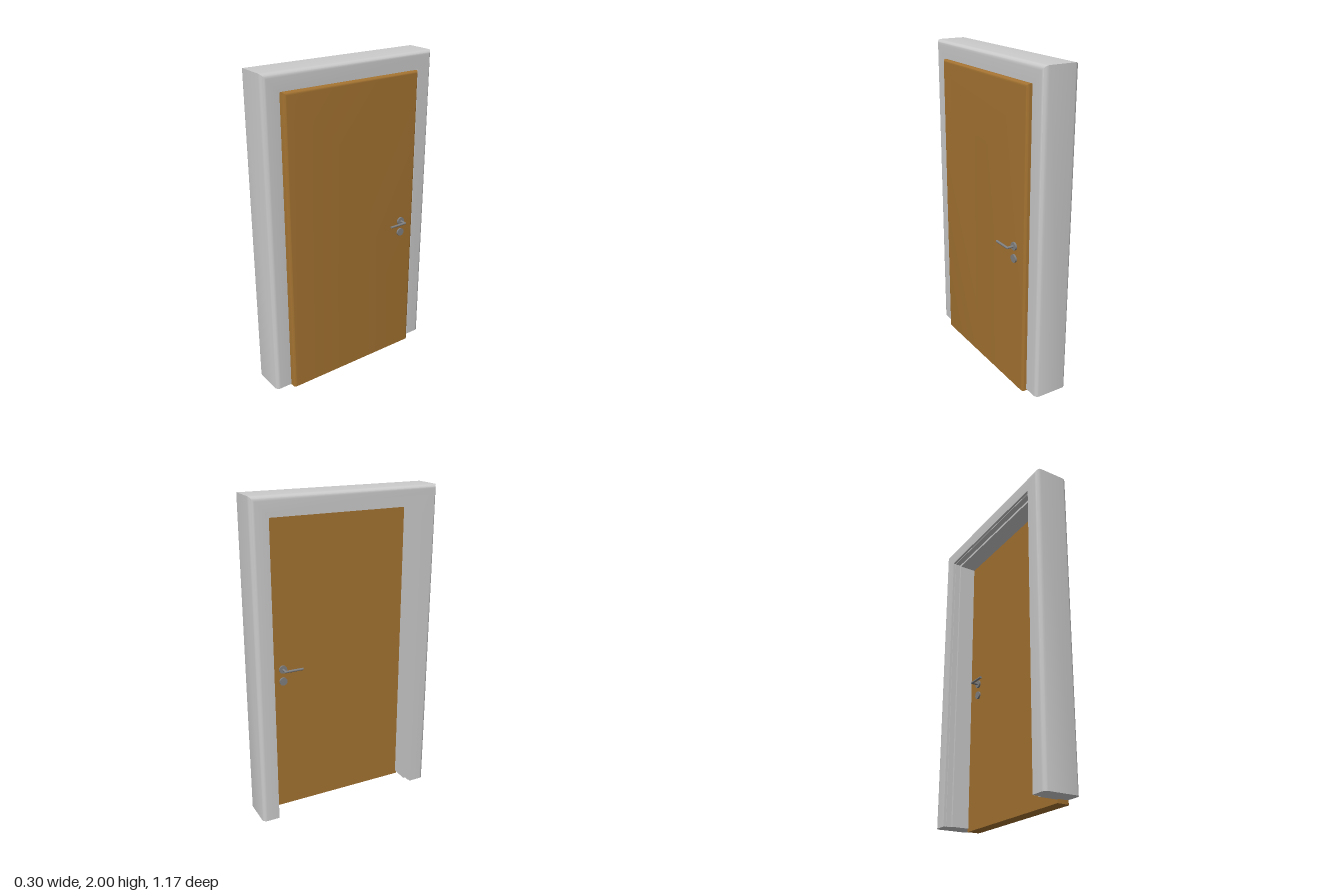
import * as THREE from 'three';
import { toCreasedNormals } from 'three/addons/utils/BufferGeometryUtils.js';

const grey = new THREE.MeshStandardMaterial({ color: 0xcccccc });
const wood = new THREE.MeshStandardMaterial({ color: 0xa47331 });
const metal = new THREE.MeshStandardMaterial({ color: 0x808080 });

// Quarter-round from angle a to a + 90 degrees, as [x, inset] points
function quarter(cx, cd, r, a, n = 6) {
  return Array.from({ length: n + 1 }, (_, i) => {
    const t = a + (i / n) * Math.PI / 2;
    return [cx + r * Math.cos(t), cd + r * Math.sin(t)];
  });
}

// Sweeps a closed [x, inset] profile up one side, over the top and down the other, with mitred corners
function sweepArch(profile, halfWidth, bottom, top) {
  const stations = [
    d => [bottom, d - halfWidth], d => [top - d, d - halfWidth],
    d => [top - d, halfWidth - d], d => [bottom, halfWidth - d],
  ];
  const point = (s, i) => {
    const [x, d] = profile[i % profile.length];
    return [x, ...stations[s](d)];
  };
  const pos = [];
  for (let s = 0; s < 3; s++) {
    for (let i = 0; i < profile.length; i++) {
      const a = point(s, i), b = point(s, i + 1), c = point(s + 1, i + 1), d = point(s + 1, i);
      pos.push(...a, ...d, ...c, ...a, ...c, ...b);
    }
  }
  // End caps
  const flat = profile.map(p => new THREE.Vector2(...p));
  for (const tri of THREE.ShapeUtils.triangulateShape(flat, [])) {
    const ccw = THREE.ShapeUtils.area(tri.map(i => flat[i])) > 0 ? tri : [...tri].reverse();
    for (const i of ccw) pos.push(...point(0, i));
    for (const i of [...ccw].reverse()) pos.push(...point(3, i));
  }
  const g = new THREE.BufferGeometry();
  g.setAttribute('position', new THREE.Float32BufferAttribute(pos, 3));
  return toCreasedNormals(g, 0.6);
}

function add(parent, name, geometry, material, x = 0, y = 0, z = 0) {
  const mesh = new THREE.Mesh(geometry, material);
  mesh.name = name;
  mesh.position.set(x, y, z);
  parent.add(mesh);
  return mesh;
}

// Lever set on one face of the door; side is +1 or -1 along x
function handleSet(side) {
  const group = new THREE.Group();
  group.name = side > 0 ? 'outerHandle' : 'innerHandle';
  group.position.set(0.05 + side * 0.04, 0.943, -0.363);
  const disc = new THREE.CylinderGeometry(0.025, 0.025, 0.012, 32);
  const rod = 0.0075;
  add(group, 'handleRose', disc, metal, side * 0.005).rotation.z = Math.PI / 2;
  add(group, 'keyRose', disc, metal, side * 0.005, -0.078).rotation.z = Math.PI / 2;
  add(group, 'leverShaft', new THREE.CylinderGeometry(rod, rod, 0.05, 16), metal, side * 0.025).rotation.z = Math.PI / 2;
  add(group, 'leverElbow', new THREE.SphereGeometry(rod, 16, 12), metal, side * 0.05);
  add(group, 'leverGrip', new THREE.CylinderGeometry(rod, rod, 0.113, 16), metal, side * 0.05, 0, 0.0565).rotation.x = Math.PI / 2;
  return group;
}

export function createModel() {
  const model = new THREE.Group();
  model.name = 'door';

  // Frame: rounded outer edges, stepped rebates towards the opening
  const r = 0.028;
  const frameProfile = [
    ...quarter(-0.15 + r, r, r, Math.PI),
    ...quarter(0.07 - r, r, r, -Math.PI / 2),
    [0.07, 0.105], [0.055, 0.105], [0.055, 0.11], [0.01, 0.11], [0.01, 0.125],
    [-0.1, 0.125], [-0.1, 0.11], [-0.135, 0.11], [-0.135, 0.105], [-0.15, 0.105],
  ];
  add(model, 'frame', sweepArch(frameProfile, 0.585, 0.02, 2), grey);

  // Door leaf: rounded outer edge on the sides and top, mitred to the middle
  const half = 0.468, e = 0.018;
  const leafProfile = [[0.01, 0], ...quarter(0.09 - e, e, e, -Math.PI / 2), [0.09, half], [0.01, half]];
  add(model, 'doorLeaf', sweepArch(leafProfile, half, 0, 1.893), wood);

  // Handles on both faces
  for (const side of [1, -1]) model.add(handleSet(side));
  return model;
}
